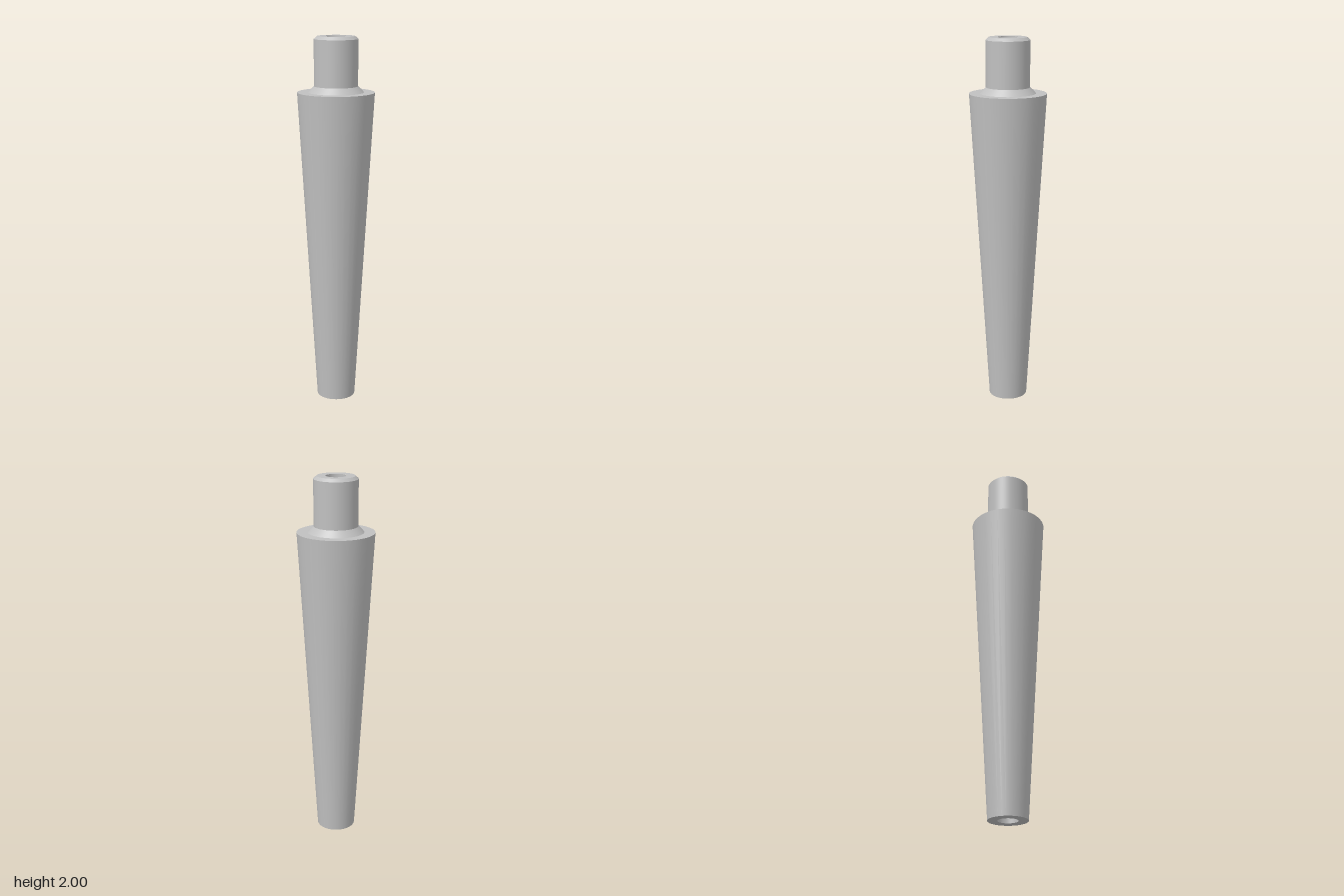
import * as THREE from 'three';

export function createModel() {
  const group = new THREE.Group();
  const metal = new THREE.MeshStandardMaterial({ color: 0xc0c0c0 });
  metal.name = 'plain grey';

  // One band of revolution between two [radius, height] points; separate bands keep edges sharp
  const band = (name, from, to, sides) => {
    const points = [from, to].map(([r, y]) => new THREE.Vector2(r, y));
    const mesh = new THREE.Mesh(new THREE.LatheGeometry(points, sides), metal);
    mesh.name = name;
    group.add(mesh);
  };

  // Closed section: up the outside, then back down through the bore
  const section = [
    ['bottomRim', [0.053, 0], 32],
    ['taperedBody', [0.105, 0], 32],
    ['shoulder', [0.205, 1.71], 32],
    ['collar', [0.147, 1.71], 64],
    ['neck', [0.116, 1.742], 64],
    ['neckChamfer', [0.116, 1.985], 64],
    ['topRim', [0.1, 2], 64],
    ['bore', [0.053, 2], 32],
  ];
  section.forEach(([name, point, sides], i) =>
    band(name, point, section[(i + 1) % section.length][1], sides));

  return group;
}
